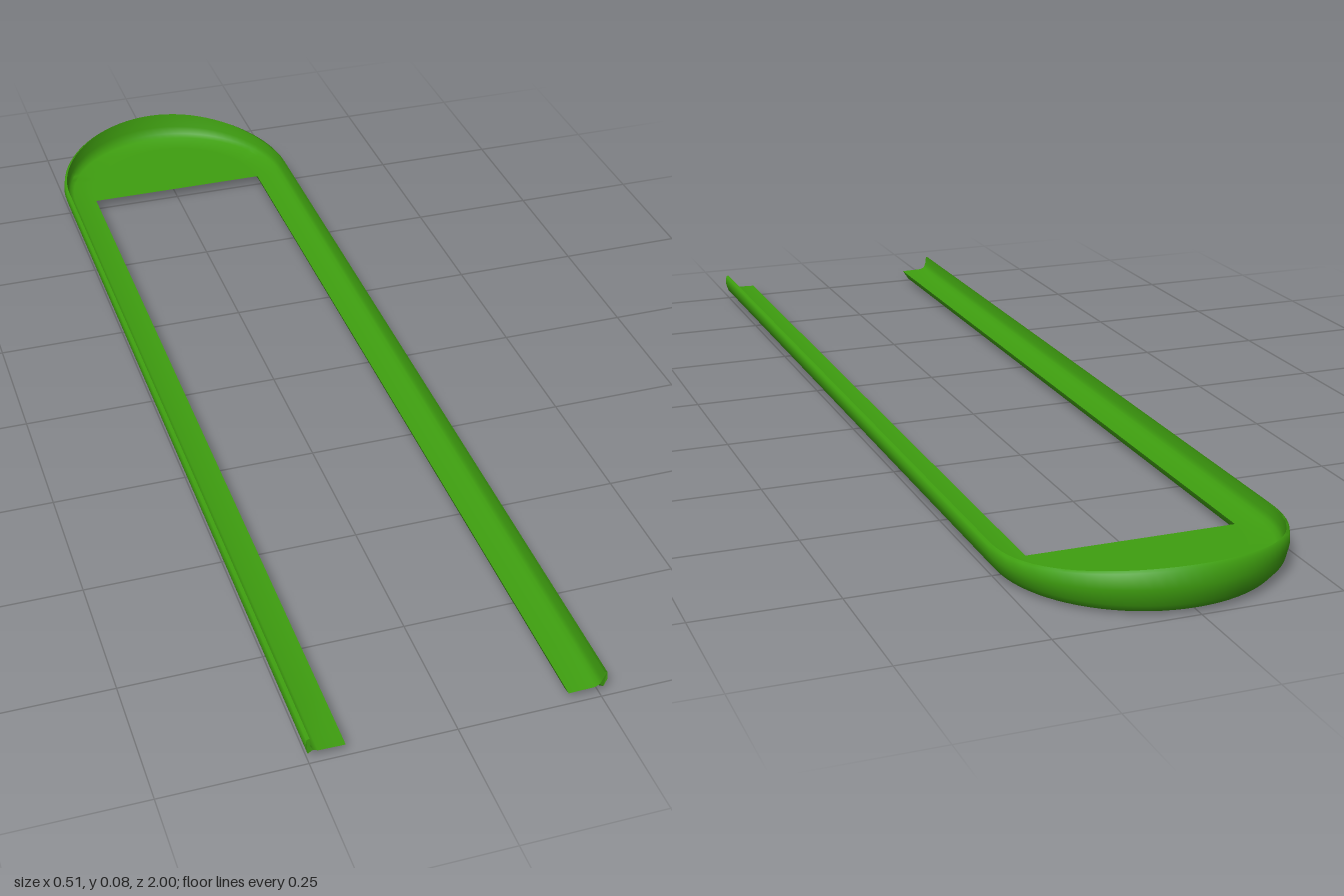
import * as THREE from 'three';
import { toCreasedNormals } from 'three/addons/utils/BufferGeometryUtils.js';

const BEND_Z = -0.745; // centre of the rounded end
const FLOOR_Y = 0.024;

// Cross-section of the channel: distance outward from the centre line, height
const PROFILE = [
  [0.19, FLOOR_Y], [0.236, 0.025], [0.244, 0.029], [0.248, 0.038], [0.25, 0.055],
  [0.255, 0.053], [0.257, 0.038], [0.252, 0.02], [0.24, 0.006], [0.22, 0],
  [0.206, 0.003], [0.195, 0.011],
];

// Stations along the U: angle around the bend and z of the section centre
function stations() {
  const list = [{ angle: 0, z: 1, end: true }, { angle: 0, z: 0.9 }];
  const steps = 40;
  for (let i = 0; i <= steps; i++) list.push({ angle: (Math.PI * i) / steps, z: BEND_Z });
  list.push({ angle: Math.PI, z: 0.9 }, { angle: Math.PI, z: 1, end: true });
  return list;
}

// Section corners; the rim rises round the bend and the underside is cut back at the ends
function section({ angle, z, end }) {
  const s = Math.sin(angle);
  return PROFILE.map(([d, y]) => {
    const lift = 0.028 * s * s * Math.max(0, (y - 0.025) / 0.03) * (d < 0.2515 || y > 0.03 ? 1 : 0);
    const cut = end ? 0.05 * Math.max(0, 1 - y / 0.021) : 0;
    return [d * Math.cos(angle), y + lift, z - d * s - cut];
  });
}

function makeGeometry(points, index) {
  const geometry = new THREE.BufferGeometry();
  geometry.setAttribute('position', new THREE.Float32BufferAttribute(points.flat(), 3));
  geometry.setIndex(index);
  geometry.computeVertexNormals();
  return geometry;
}

export function createModel() {
  const group = new THREE.Group();
  const green = new THREE.MeshStandardMaterial({ color: 0x3f9f10, side: THREE.DoubleSide });
  green.name = 'green';

  const add = (name, geometry) => {
    const mesh = new THREE.Mesh(geometry, green);
    mesh.name = name;
    group.add(mesh);
    return mesh;
  };

  // U-shaped channel swept through all sections
  const rings = stations().map(section);
  const n = PROFILE.length;
  const index = [];
  for (let i = 0; i < rings.length - 1; i++) {
    for (let j = 0; j < n; j++) {
      const a = i * n + j, b = i * n + ((j + 1) % n);
      index.push(a, b, b + n, a, b + n, a + n);
    }
  }
  add('channel', toCreasedNormals(makeGeometry(rings.flat(), index), 1.1));

  // Closed ends of the two arms
  const contour = PROFILE.map(([d, y]) => new THREE.Vector2(d, y));
  const faces = THREE.ShapeUtils.triangulateShape(contour, []);
  [['leftEnd', rings[0]], ['rightEnd', rings[rings.length - 1]]].forEach(([name, ring]) => {
    const cap = makeGeometry(ring, faces.flat()).toNonIndexed();
    cap.computeVertexNormals();
    add(name, cap);
  });

  // Half-round floor plate inside the bend
  const half = new THREE.Shape();
  half.absarc(0, 0, 0.191, 0, Math.PI, false);
  half.closePath();
  const plate = add('floorPlate', new THREE.ShapeGeometry(half, 40));
  plate.rotation.x = -Math.PI / 2;
  plate.position.set(0, FLOOR_Y, BEND_Z);

  return group;
}
